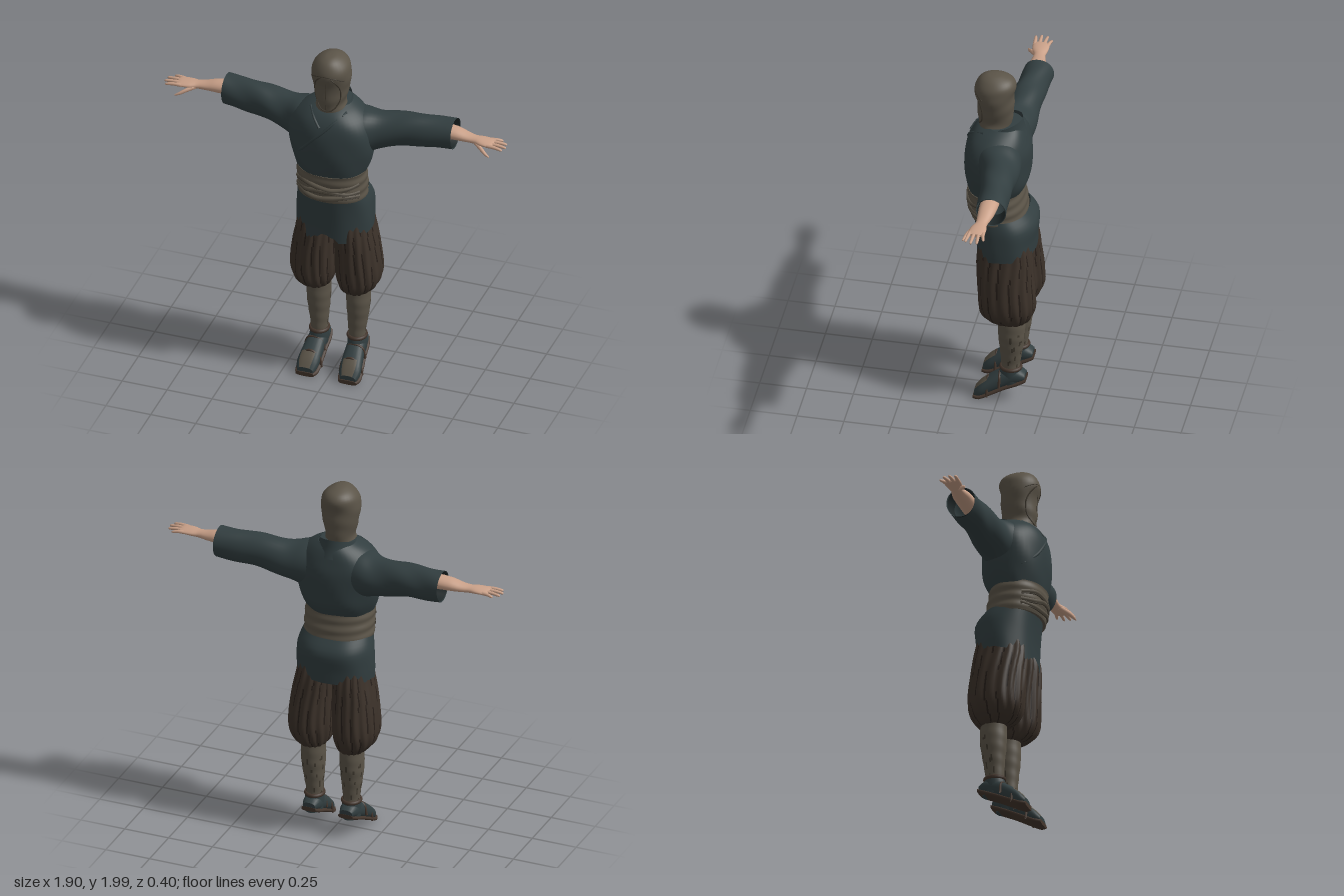
import * as THREE from 'three';

const mat = (name, color) => {
  const m = new THREE.MeshStandardMaterial({ color, side: THREE.DoubleSide });
  m.name = name;
  return m;
};

// Catmull-Rom sample of a ring list at u in 0..1
function ringAt(rings, u) {
  const f = u * (rings.length - 1), i = Math.min(Math.floor(f), rings.length - 2), t = f - i;
  const g = k => rings[Math.max(0, Math.min(rings.length - 1, k))];
  return rings[0].map((_, c) => {
    const [p, a, b, n] = [g(i - 1)[c], g(i)[c], g(i + 1)[c], g(i + 2)[c]];
    return a + 0.5 * t * (b - p + t * (2 * p - 5 * a + 4 * b - n + t * (3 * (a - b) + n - p)));
  });
}

// Skin over rings [t, a, b, ra, rb]; (t, a, b) is (x, y, z), (y, z, x) or (z, x, y) by axis
function loft(rings, axis, { seg = 24, rows = 16, pow = 1, bump, warp, pick, caps = true } = {}) {
  if (rings[0][0] > rings[rings.length - 1][0]) rings = [...rings].reverse();
  const pos = [], index = [[], []];
  const put = (t, a, b, th) => {
    const p = axis === 'x' ? new THREE.Vector3(t, a, b) : axis === 'y' ? new THREE.Vector3(b, t, a) : new THREE.Vector3(a, b, t);
    if (warp) warp(p, th);
    pos.push(p.x, p.y, p.z);
  };
  const sp = v => Math.sign(v) * Math.abs(v) ** pow;
  const ring = u => {
    const [t, a, b, ra, rb] = ringAt(rings, u);
    for (let j = 0; j < seg; j++) {
      const th = j / seg * Math.PI * 2, k = bump ? 1 + bump(th, t) : 1;
      put(t, a + ra * k * sp(Math.cos(th)), b + rb * k * sp(Math.sin(th)), th);
    }
  };
  for (let i = 0; i <= rows; i++) ring(i / rows);
  for (let i = 0; i < rows; i++) for (let j = 0; j < seg; j++) {
    const a = i * seg + j, b = i * seg + (j + 1) % seg, c = a + seg, d = b + seg;
    const g = pick && pick(j / seg * Math.PI * 2, ringAt(rings, (i + 0.5) / rows)[0]) ? 1 : 0;
    index[g].push(a, b, d, a, d, c);
  }
  if (caps) for (const u of [0, 1]) {
    const s = pos.length / 3;
    ring(u);
    const [t, a, b] = ringAt(rings, u);
    put(t, a, b, 0);
    for (let j = 0; j < seg; j++) {
      const k = s + j, n = s + (j + 1) % seg;
      index[0].push(s + seg, u ? k : n, u ? n : k);
    }
  }
  const geo = new THREE.BufferGeometry();
  geo.setAttribute('position', new THREE.Float32BufferAttribute(pos, 3));
  geo.setIndex([...index[0], ...index[1]]);
  if (pick) {
    geo.addGroup(0, index[0].length, 0);
    geo.addGroup(index[0].length, index[1].length, 1);
  }
  geo.computeVertexNormals();
  return geo;
}

// Depth of the front of an upright loft at x, y
function frontZ(rings, x, y) {
  let i = 0;
  while (i < rings.length - 2 && rings[i + 1][0] < y) i++;
  const r = rings[i].map((v, c) => THREE.MathUtils.lerp(v, rings[i + 1][c], (y - rings[i][0]) / (rings[i + 1][0] - rings[i][0])));
  return r[1] + r[3] * Math.sqrt(Math.max(0, 1 - ((x - r[2]) / r[4]) ** 2));
}

export function createModel() {
  const model = new THREE.Group();
  const cloth = mat('tealCloth', 0x323e40), seam = mat('darkSeam', 0x1f2728);
  const wrap = mat('greyWrap', 0x5b5448), fold = mat('wrapFold', 0x3f392f);
  const brown = mat('trouserBrown', 0x3b3129), pleat = mat('pleatShadow', 0x261e19);
  const skin = mat('skin', 0xcaa189), leather = mat('sandalLeather', 0x44362d);
  const add = (name, geo, m) => {
    const mesh = new THREE.Mesh(geo, m);
    mesh.name = name;
    model.add(mesh);
  };
  const tube = (name, pts, r, m, closed = false) => add(name,
    new THREE.TubeGeometry(new THREE.CatmullRomCurve3(pts.map(p => new THREE.Vector3(...p)), closed), 32, r, 6, closed), m);
  const onFront = (rings, pts, off = 0) => pts.map(([x, y]) => [x, y, frontZ(rings, x, y) + off]);

  // Hooded head
  const head = [[1.62, 0.03, 0, 0.085, 0.1], [1.68, 0.04, 0, 0.085, 0.088], [1.72, 0.04, 0, 0.09, 0.077],
    [1.77, 0.04, 0, 0.096, 0.088], [1.83, 0.037, 0, 0.096, 0.1], [1.89, 0.045, 0, 0.104, 0.107],
    [1.94, 0.037, 0, 0.108, 0.097], [1.975, 0.038, 0, 0.085, 0.07], [1.995, 0.045, 0, 0.045, 0.035], [2, 0.045, 0, 0.01, 0.01]];
  add('hood', loft(head, 'y', { seg: 32, rows: 36, bump: (th, y) => 0.012 * Math.sin(y * 75 + 3 * Math.cos(th)) }), wrap);
  const oval = Array.from({ length: 20 }, (_, i) => [0.072 * Math.cos(i * Math.PI / 10), 1.8 + 0.112 * Math.sin(i * Math.PI / 10)]);
  tube('maskEdge', onFront(head, oval, -0.001), 0.004, fold, true);
  tube('maskSeam', onFront(head, [[0, 1.91], [0, 1.85], [0, 1.78], [0, 1.7]]), 0.002, fold);
  tube('browFold', onFront(head, [[-0.09, 1.88], [-0.05, 1.905], [0, 1.915], [0.05, 1.905], [0.09, 1.88]]), 0.004, fold);

  // Jacket body, standing collar and crossed lapels
  const torso = [[1.29, 0.035, 0, 0.14, 0.18], [1.36, 0.025, 0, 0.165, 0.208], [1.45, 0.025, 0, 0.174, 0.23],
    [1.55, 0.022, 0, 0.172, 0.235], [1.62, 0.02, 0, 0.155, 0.205], [1.67, 0.01, 0, 0.128, 0.15], [1.7, -0.005, 0, 0.095, 0.1]];
  add('jacket', loft(torso, 'y', { seg: 48, rows: 24, pow: 0.94, bump: (th, y) => 0.012 * Math.sin(6 * th + y * 22) }), cloth);
  const collar = [[1.64, -0.005, 0, 0.125, 0.13], [1.69, -0.01, 0, 0.103, 0.105], [1.74, -0.012, 0, 0.092, 0.093]];
  add('collar', loft(collar, 'y', { seg: 32, rows: 6, caps: false,
    warp: (p, th) => { p.y -= 0.035 * (1 + Math.cos(th)); p.z += 0.012 * (1 + Math.cos(th)); } }), cloth);
  const lapel = [[0.1, 1.68], [0.05, 1.64], [0, 1.59], [-0.06, 1.53], [-0.12, 1.46], [-0.175, 1.4]];
  tube('upperLapel', onFront(torso, lapel, 0.001), 0.008, cloth);
  tube('lapelSeam', onFront(torso, lapel.map(([x, y]) => [x - 0.01, y - 0.008]), 0.003), 0.003, seam);
  tube('underLapel', onFront(torso, [[-0.1, 1.68], [-0.06, 1.65], [-0.02, 1.61]], 0.001), 0.008, cloth);

  // Wrapped sash with twisted folds in front
  const sash = [[1.145, 0.017, 0, 0.15, 0.188], [1.2, 0.023, 0, 0.152, 0.188], [1.26, 0.032, 0, 0.149, 0.187], [1.312, 0.036, 0, 0.147, 0.186]];
  add('sash', loft(sash, 'y', { seg: 48, rows: 24, pow: 0.92, bump: (th, y) => 0.014 * Math.sin(y * 115 + Math.sin(th)) }), wrap);
  [[1.245, 0.012], [1.215, -0.012], [1.18, 0.008]].forEach(([y, d], k) => {
    const pts = [-0.165, -0.1, -0.03, 0.05, 0.12, 0.17].map((x, i) => [x, y + d * Math.sin(i * 1.5 + k)]);
    tube('sashFold' + k, onFront(sash, pts, 0.003), 0.012, wrap);
    tube('sashCrease' + k, onFront(sash, pts.map(([x, v]) => [x, v - 0.013]), 0.008), 0.0035, fold);
  });

  // Jacket skirt with a ragged front hem
  const skirt = [[0.93, -0.025, 0, 0.155, 0.207], [1, -0.025, 0, 0.158, 0.209], [1.1, -0.022, 0, 0.166, 0.203], [1.17, 0.008, 0, 0.147, 0.184]];
  add('skirt', loft(skirt, 'y', { seg: 64, rows: 12, pow: 0.9, caps: false,
    bump: (th, y) => 0.008 * Math.sin(7 * th + y * 12),
    warp: (p, th) => {
      const low = Math.max(0, 1 - (p.y - 0.93) / 0.1), front = Math.max(0, Math.cos(th));
      p.y -= low * Math.sqrt(front) * (0.036 + 0.026 * Math.sin(Math.abs(p.x + 0.01) * 26 - 1.4) + 0.007 * Math.sin(p.x * 110));
    } }), cloth);

  for (const s of [1, -1]) {
    const side = s > 0 ? 'left' : 'right', end = s > 0 ? 0.65 : 0.625;
    const my = list => list.map(([y, z, x, rz, rx]) => [y, z, x * s, rz, rx]); // upright
    const mx = list => list.map(([x, ...r]) => [x * s, ...r]);                 // along the arm
    const mz = list => list.map(([z, x, ...r]) => [z, x * s, ...r]);           // along the foot

    // Sleeve with a dark open cuff
    const sleeve = mx([[0.06, 1.54, 0, 0.12, 0.12], [0.16, 1.535, -0.005, 0.128, 0.125], [0.26, 1.542, -0.03, 0.103, 0.1],
      [0.4, 1.567, -0.045, 0.093, 0.085], [0.52, 1.572, -0.055, 0.088, 0.08], [end, 1.58, -0.065, 0.085, 0.08]]);
    add(side + 'Sleeve', loft(sleeve, 'x', { seg: 36, rows: 28, caps: false,
      bump: (th, x) => 0.025 * Math.sin(3 * th + x * 28 * s) }), cloth);
    add(side + 'CuffLining', loft(mx([[end - 0.08, 1.58, -0.063, 0.07, 0.066], [end - 0.002, 1.58, -0.065, 0.081, 0.076]]),
      'x', { seg: 24, rows: 2, caps: false }), seam);

    // Forearm, palm, fingers and thumb
    add(side + 'Forearm', loft(mx([[0.5, 1.597, -0.05, 0.042, 0.05], [0.65, 1.597, -0.048, 0.035, 0.047], [0.72, 1.59, -0.044, 0.025, 0.038],
      [0.77, 1.587, -0.038, 0.02, 0.031], [0.81, 1.588, -0.033, 0.018, 0.042], [0.86, 1.588, -0.03, 0.013, 0.045], [0.878, 1.588, -0.03, 0.008, 0.04]]), 'x'), skin);
    [[-0.063, 0.915, -0.076], [-0.042, 0.945, -0.048], [-0.019, 0.95, -0.016], [0.004, 0.938, 0.013]].forEach(([z, x, tz], i) =>
      add(side + 'Finger' + i, loft(mx([[0.85, 1.588, z, 0.01, 0.011], [(0.85 + x) / 2, 1.589, (z + tz) / 2, 0.009, 0.0095],
        [x - 0.008, 1.585, tz, 0.007, 0.007], [x, 1.584, tz, 0.002, 0.002]]), 'x', { seg: 8, rows: 9 }), skin));
    add(side + 'Thumb', loft(mx([[0.775, 1.582, -0.02, 0.012, 0.014], [0.82, 1.568, 0.012, 0.013, 0.013],
      [0.85, 1.554, 0.03, 0.01, 0.01], [0.875, 1.544, 0.04, 0.004, 0.004]]), 'x', { seg: 8, rows: 9 }), skin);

    // Gathered trouser leg with dark pleats
    add(side + 'TrouserLeg', loft(my([[1, -0.03, 0.1, 0.125, 0.09], [0.92, -0.03, 0.104, 0.143, 0.1], [0.8, -0.035, 0.116, 0.147, 0.112],
      [0.65, -0.045, 0.125, 0.15, 0.119], [0.57, -0.045, 0.123, 0.137, 0.107], [0.52, -0.05, 0.113, 0.105, 0.08], [0.505, -0.055, 0.11, 0.08, 0.062]]),
      'y', { seg: 96, rows: 28, pow: 0.92,
        bump: (th, y) => 0.03 * Math.sin(16 * th + 1.5 * Math.sin(y * 11)) + 0.012 * Math.sin(7 * th - y * 14),
        pick: (th, y) => Math.sin(16 * th + 0.5 + 1.5 * Math.sin(y * 11)) < -0.86 && Math.sin(5 * th + y * 16) > -0.5 }), [brown, pleat]);

    // Bound shin with stains at the back
    add(side + 'Shin', loft(my([[0.18, -0.062, 0.105, 0.048, 0.044], [0.24, -0.062, 0.105, 0.051, 0.046], [0.32, -0.065, 0.108, 0.06, 0.055],
      [0.42, -0.067, 0.11, 0.071, 0.064], [0.54, -0.067, 0.108, 0.07, 0.063]]), 'y', { seg: 40, rows: 40,
      bump: (th, y) => 0.012 * Math.sin(y * 90 + th),
      pick: (th, y) => Math.cos(th) < 0.2 && y < 0.45 && Math.sin(9 * th + y * 31) + Math.sin(y * 83 - 5 * th) + Math.sin(13 * th - y * 47) > 1.35 }), [wrap, fold]);

    // Ankle sock, shoe, sole and ties
    add(side + 'Ankle', loft(my([[0.11, -0.065, 0.107, 0.062, 0.046], [0.16, -0.062, 0.106, 0.062, 0.05], [0.205, -0.062, 0.105, 0.053, 0.048]]), 'y'), cloth);
    const foot = [[-0.14, 0.105, 0.155, 0.035, 0.02], [-0.1, 0.105, 0.157, 0.048, 0.042], [-0.04, 0.108, 0.14, 0.05, 0.053],
      [0.03, 0.113, 0.1, 0.056, 0.05], [0.09, 0.118, 0.06, 0.058, 0.041], [0.125, 0.119, 0.036, 0.044, 0.022]];
    add(side + 'Shoe', loft(mz(foot), 'z', { pow: 0.85, pick: (th, z) => z > 0.06 && Math.abs(th - Math.PI / 2) < 0.6 }), [cloth, wrap]);
    add(side + 'Sole', loft(mz(foot.map(([z, x, y, rx, ry]) => [z * 1.04, x, y - ry + 0.006, rx + 0.006, 0.012])), 'z', { pow: 0.6 }), leather);
    const band = new THREE.TorusGeometry(0.047, 0.009, 8, 24).rotateX(Math.PI / 2).scale(1, 1.3, 1.1).translate(0.105 * s, 0.205, -0.062);
    add(side + 'AnkleTie', band, leather);
    [[-0.01, 0.055, 0.128, 0.177], [0.055, 0.062, 0.065, 0.131]].forEach(([z, w, y0, y1], i) =>
      tube(side + 'Strap' + i, [[-w, y0 - 0.03, z], [-w * 0.72, (y0 + y1) / 2 + 0.004, z], [0, y1 - 0.004, z + 0.003], [w * 0.72, (y0 + y1) / 2 + 0.004, z], [w, y0 - 0.03, z]]
        .map(([x, y, d]) => [x + 0.113 * s, y, d]), 0.007, leather));
  }
  return model;
}
